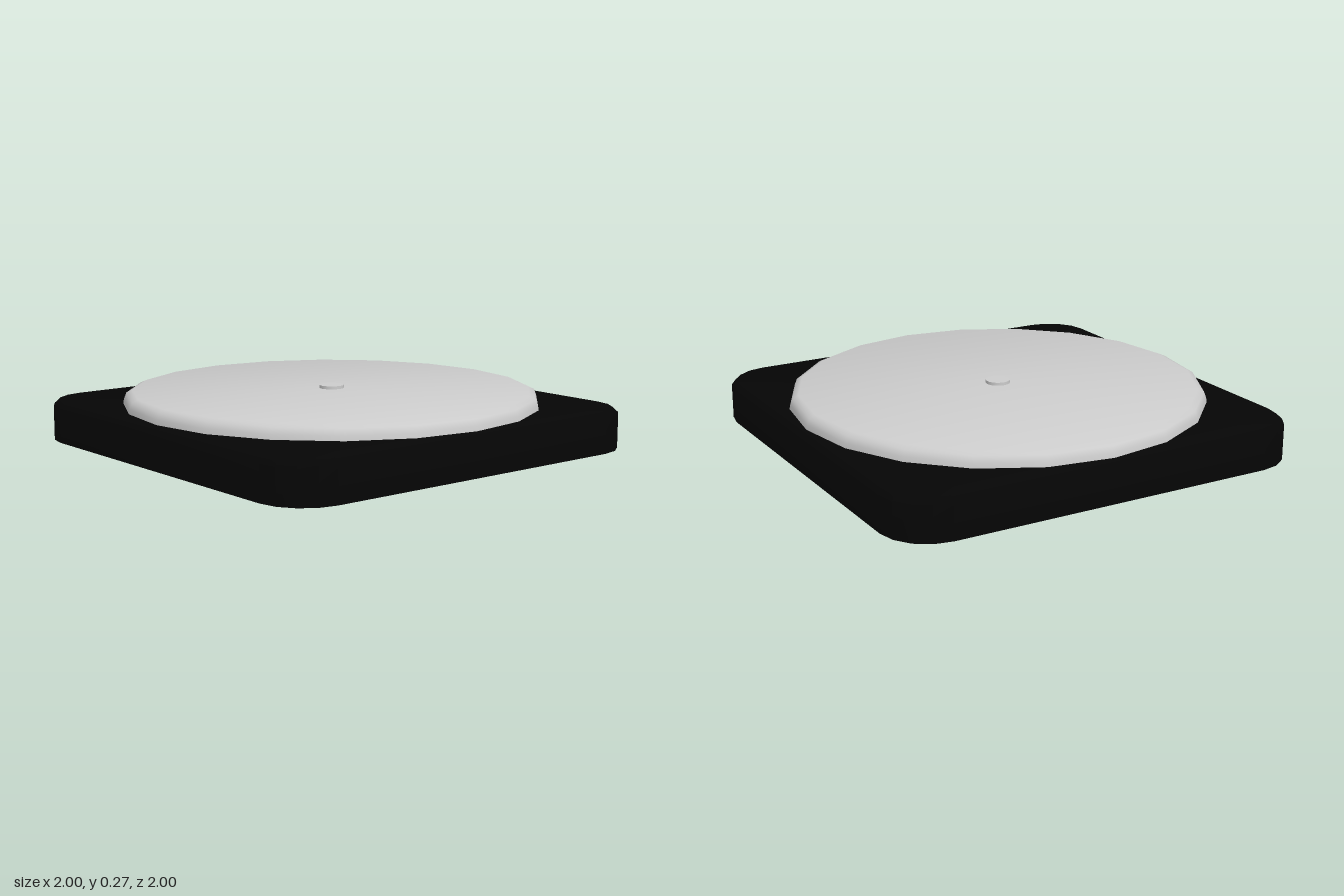
import * as THREE from 'three';
import { toCreasedNormals } from 'three/addons/utils/BufferGeometryUtils.js';

const grey = new THREE.MeshStandardMaterial({ color: 0xcccccc });
const black = new THREE.MeshStandardMaterial({ color: 0x050505, side: THREE.DoubleSide });

// Outline of a square with rounded corners, shrunk by an inset
function roundedSquare(inset, y, radius = 0.22, steps = 4) {
  const points = [];
  const r = radius - inset;
  const c = 1 - radius;
  for (let corner = 0; corner < 4; corner++) {
    const mid = Math.PI / 4 + corner * Math.PI / 2;
    for (let i = 0; i <= steps; i++) {
      const a = corner * Math.PI / 2 + (i / steps) * Math.PI / 2;
      points.push([
        Math.sign(Math.cos(mid)) * c + r * Math.cos(a), y,
        Math.sign(Math.sin(mid)) * c + r * Math.sin(a),
      ]);
    }
  }
  return points;
}

// Skin a stack of outlines that runs upward on the outside
function loft(rings, crease) {
  const n = rings[0].length;
  const index = [];
  for (let k = 0; k < rings.length - 1; k++) {
    for (let i = 0; i < n; i++) {
      const a = k * n + i, b = k * n + (i + 1) % n;
      index.push(a, a + n, b, b, a + n, b + n);
    }
  }
  const geometry = new THREE.BufferGeometry();
  geometry.setAttribute('position', new THREE.Float32BufferAttribute(rings.flat(2), 3));
  geometry.setIndex(index);
  return toCreasedNormals(geometry, crease);
}

// Twenty-sided turned part from [radius, height] pairs
function turned(profile, crease) {
  const points = profile.map(([x, y]) => new THREE.Vector2(x, y));
  return toCreasedNormals(new THREE.LatheGeometry(points, 20), crease);
}

function addMesh(group, name, geometry, material) {
  const mesh = new THREE.Mesh(geometry, material);
  mesh.name = name;
  group.add(mesh);
  return mesh;
}

export function createModel() {
  const group = new THREE.Group();
  group.name = 'turntableStand';

  // Thin shell open at the bottom: wall, chamfer, top sheet
  const baseRings = [
    roundedSquare(0, 0),
    roundedSquare(0, 0.165),
    roundedSquare(0.028, 0.19),
    roundedSquare(0, 0.19).map(() => [0, 0.19, 0]),
  ];
  addMesh(group, 'base', loft(baseRings, 0.85), black);

  // Round platter with a softened top edge
  addMesh(group, 'platter', turned([
    [0.925, 0.189], [0.968, 0.194], [0.964, 0.215],
    [0.953, 0.243], [0.925, 0.256], [0, 0.258],
  ], 0.8), grey);

  // Stepped underside hanging below the top sheet
  addMesh(group, 'platterUnderside', turned([
    [0, 0.105], [0.79, 0.105], [0.815, 0.135], [0.925, 0.189],
  ], 0.35), grey);

  // Centre pin through the platter
  const pin = addMesh(group, 'centrePin', new THREE.CylinderGeometry(0.057, 0.057, 0.184, 24), grey);
  pin.position.y = 0.18;

  return group;
}
